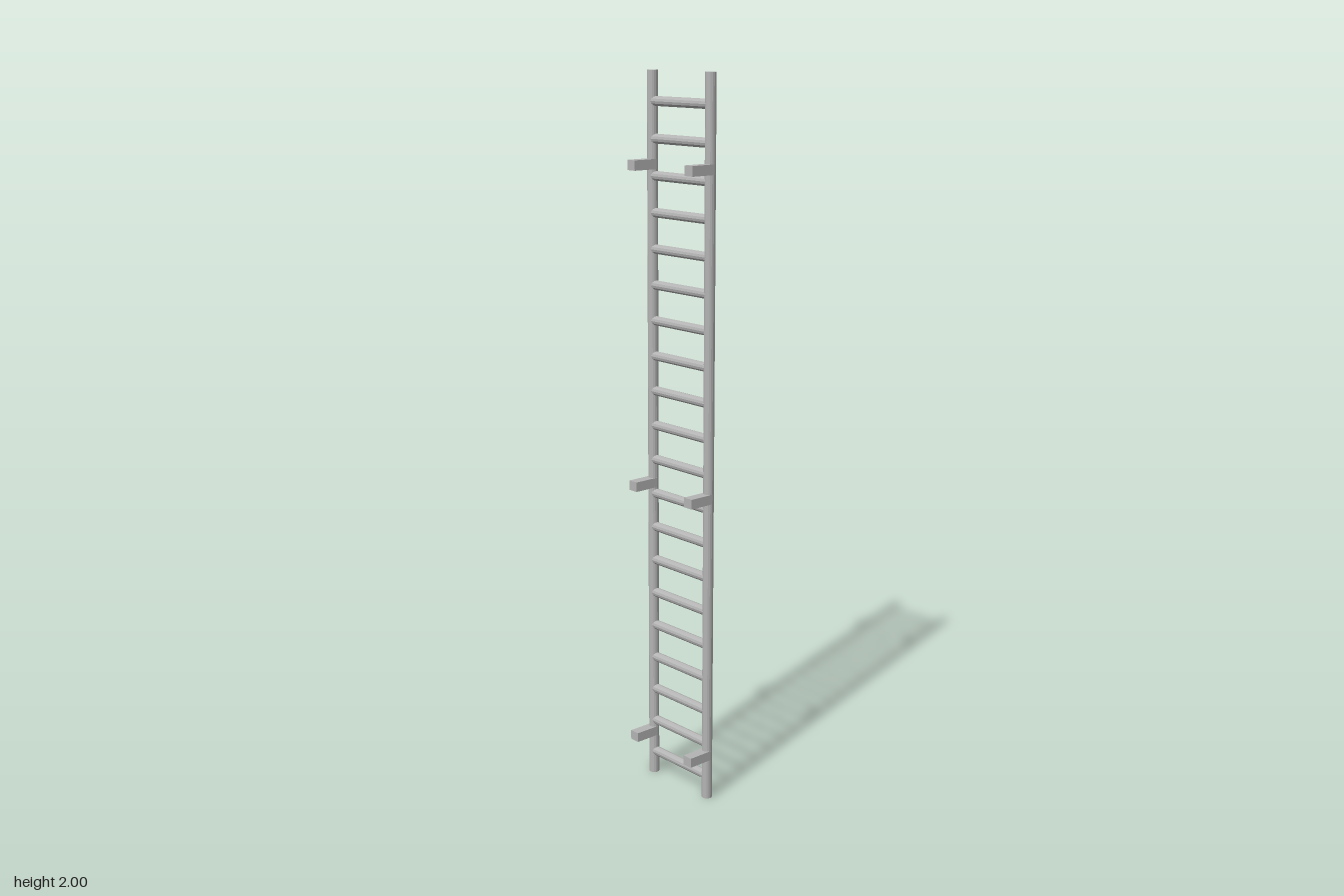
import * as THREE from 'three';

export function createModel() {
  const ladder = new THREE.Group();
  ladder.name = 'wallLadder';
  const steel = new THREE.MeshStandardMaterial({ color: 0xb4b4b4, flatShading: true });
  steel.name = 'grey steel';

  const railX = 0.113, railZ = -0.0305, railRadius = 0.0145, height = 2;

  function add(name, geometry, x, y, z) {
    const mesh = new THREE.Mesh(geometry, steel);
    mesh.name = name;
    mesh.position.set(x, y, z);
    ladder.add(mesh);
  }

  // Upright rails and the wall brackets standing off from them
  const railGeometry = new THREE.CylinderGeometry(railRadius, railRadius, height, 16);
  const frontZ = 0.0445;
  const bracketGeometry = new THREE.BoxGeometry(0.03, 0.027, frontZ - railZ);
  for (const [side, label] of [[1, 'left'], [-1, 'right']]) {
    add(label + 'Rail', railGeometry, side * railX, height / 2, railZ);
    [0.13, 0.878, 1.756].forEach((y, i) =>
      add(label + 'Bracket' + (i + 1), bracketGeometry, side * railX, y, (frontZ + railZ) / 2));
  }

  // Evenly spaced round rungs
  const rungGeometry = new THREE.CylinderGeometry(0.013, 0.013, railX * 2, 12);
  rungGeometry.rotateZ(Math.PI / 2);
  const rungCount = 20, firstY = 0.066, lastY = 1.92;
  for (let i = 0; i < rungCount; i++) {
    const y = firstY + (lastY - firstY) * i / (rungCount - 1);
    add('rung' + (i + 1), rungGeometry, 0, y, railZ);
  }

  return ladder;
}
